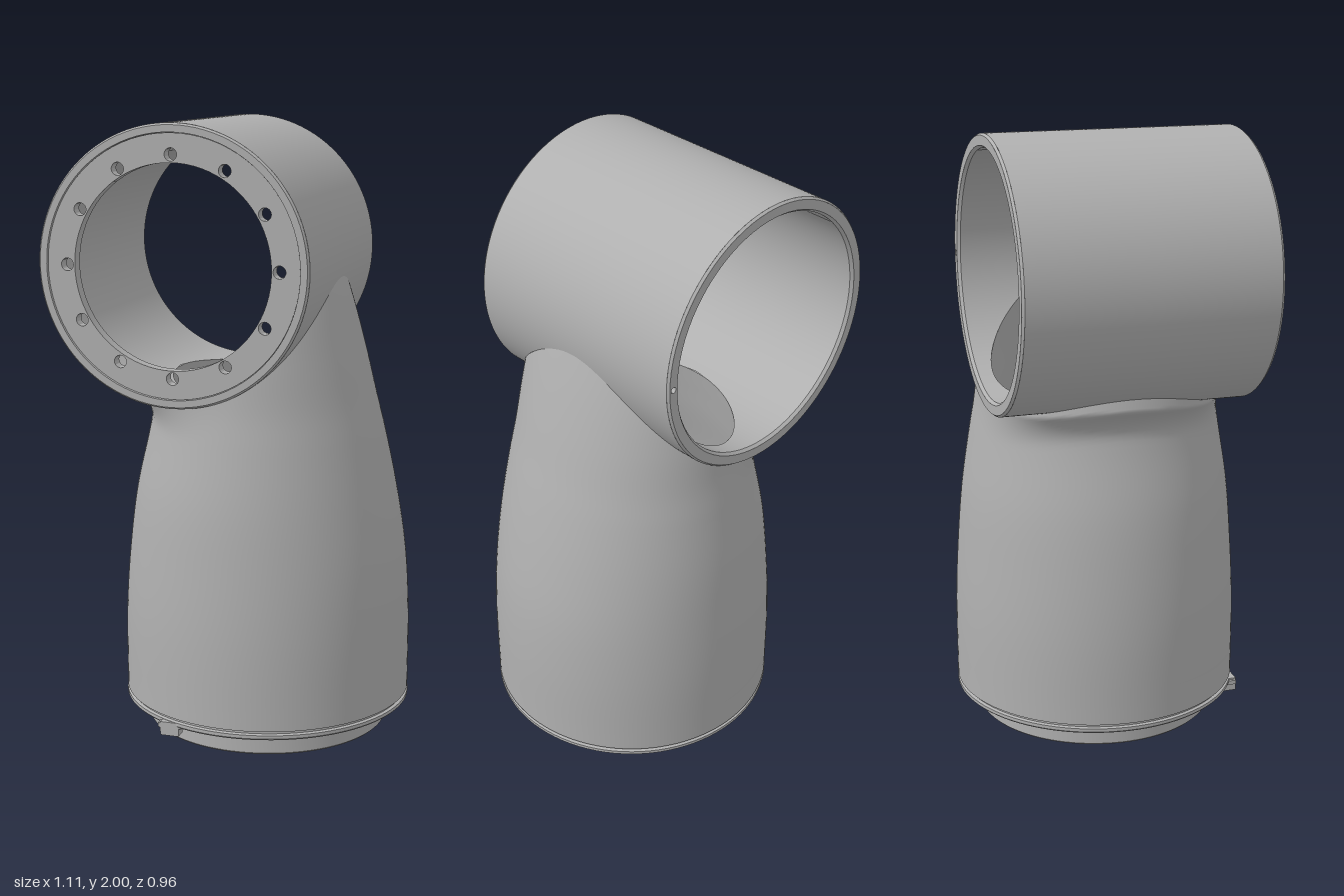
import * as THREE from 'three';
import { toCreasedNormals } from 'three/addons/utils/BufferGeometryUtils.js';

const HX = -0.115, HY = 1.56;      // head axis (runs along z)
const R_OUT = 0.44, R_IN = 0.395;  // head radii
const BX = 0.075;                  // base axis
const WALL = 0.045;

// Trunk sections: height -> left edge, right edge, half depth
const heights = [0.11, 0.4, 0.6, 0.8, 1.0, 1.1, 1.25, 1.4, 1.6];
const sections = [
  -0.402, 0.552, 0.478, -0.4, 0.55, 0.477, -0.385, 0.536, 0.467,
  -0.358, 0.503, 0.451, -0.312, 0.459, 0.422, -0.292, 0.433, 0.406,
  -0.26, 0.395, 0.39, -0.21, 0.353, 0.365, -0.14, 0.29, 0.31,
];
const spline = new THREE.CubicInterpolant(heights, sections, 3, new Float32Array(3));

function section(y, inset) {
  const [l, r, d] = spline.evaluate(Math.min(Math.max(y, 0.11), 1.6));
  return { c: (l + r) / 2, a: (r - l) / 2 - inset, d: d - inset };
}

const headDist = (x, y) => Math.hypot(x - HX, y - HY);

// Point on the trunk wall; the crotch side flares out into a fillet under the head
function trunkPoint(t, y, inset, flare) {
  const s = section(y, inset);
  let x = s.c + s.a * Math.cos(t);
  if (flare) {
    const near = Math.max(0, 1 - Math.max(0, headDist(x, y) - R_OUT) / 0.11);
    x += Math.min(0, Math.cos(t)) * 0.085 * near * near;
  }
  return [x, y, s.d * Math.sin(t)];
}

// Height at which a trunk column meets the head cylinder
function meetHeight(t, inset, flare, R) {
  let lo = 0.95, hi = 1.59;
  for (let i = 0; i < 40; i++) {
    const m = (lo + hi) / 2;
    if (headDist(trunkPoint(t, m, inset, flare)[0], m) > R) lo = m; else hi = m;
  }
  return lo;
}

// Surface from a rule f(u, v), closed around u
function loopSurface(f, nu, nv) {
  const pos = [], idx = [];
  for (let j = 0; j <= nv; j++) {
    for (let i = 0; i < nu; i++) pos.push(...f(i / nu, j / nv));
  }
  for (let j = 0; j < nv; j++) {
    for (let i = 0; i < nu; i++) {
      const a = j * nu + i, b = j * nu + (i + 1) % nu;
      idx.push(a, a + nu, b, b, a + nu, b + nu);
    }
  }
  const g = new THREE.BufferGeometry();
  g.setAttribute('position', new THREE.Float32BufferAttribute(pos, 3));
  g.setIndex(idx);
  g.computeVertexNormals();
  return g;
}

function trunkWall(inset, flare, R, y0) {
  const n = 128, tops = [];
  for (let i = 0; i < n; i++) tops.push(meetHeight(i / n * Math.PI * 2, inset, flare, R));
  return loopSurface((u, v) => {
    const top = tops[Math.round(u * n)];
    const y = y0 + (top - y0) * (1 - Math.pow(1 - v, 1.6));
    return trunkPoint(u * Math.PI * 2, y, inset, flare);
  }, n, 48);
}

// One half of a head wall, from the trunk opening out to z = zEnd
function headWall(R, inset, zEnd) {
  return loopSurface((u, v) => {
    const p = u * Math.PI * 2, x = HX + R * Math.cos(p), y = HY + R * Math.sin(p);
    const s = section(y, inset), k = (x - s.c) / s.a;
    const open = y < 1.6 && Math.abs(k) < 1 ? s.d * Math.sqrt(1 - k * k) : 0;
    const z0 = Math.min(open, Math.abs(zEnd)) * Math.sign(zEnd);
    return [x, y, z0 + (zEnd - z0) * v];
  }, 288, 4);
}

// Flat ring with a circle of bolt holes, lying in xy and extruded along +z
function ringPlate(R, r, depth, count, holeCircle, holeR) {
  const shape = new THREE.Shape().absarc(0, 0, R, 0, Math.PI * 2);
  shape.holes.push(new THREE.Path().absarc(0, 0, r, 0, Math.PI * 2, true));
  for (let i = 0; i < count; i++) {
    const a = i / count * Math.PI * 2;
    shape.holes.push(new THREE.Path().absarc(
      holeCircle * Math.cos(a), holeCircle * Math.sin(a), holeR, 0, Math.PI * 2, true));
  }
  const g = new THREE.ExtrudeGeometry(shape, { depth, bevelEnabled: false, curveSegments: 40 });
  return toCreasedNormals(g, 0.5);
}

function turned(points) {
  const g = new THREE.LatheGeometry(points.map(([x, y]) => new THREE.Vector2(x, y)), 96);
  return toCreasedNormals(g, 0.5);
}

export function createModel() {
  const model = new THREE.Group();
  const grey = new THREE.MeshStandardMaterial({ color: 0xb0b0b0, side: THREE.DoubleSide });
  grey.name = 'castGrey';
  const add = (name, geometry, x = 0, y = 0, z = 0) => {
    const m = new THREE.Mesh(geometry, grey);
    m.name = name;
    m.position.set(x, y, z);
    model.add(m);
    return m;
  };

  // Trunk
  add('trunkOuter', trunkWall(0, true, R_OUT, 0.11));
  add('trunkInner', trunkWall(WALL, false, R_IN, 0.13));

  // Head tube, opened at the trunk
  add('headOuterFront', headWall(R_OUT, 0, 0.402));
  add('headOuterBack', headWall(R_OUT, 0, -0.402));
  add('headInnerFront', headWall(R_IN, WALL, 0.37));
  add('headInnerBack', headWall(R_IN, WALL, -0.4));

  // Front lip and bolted flange
  add('frontLip', turned([[0.44, 0.402], [0.434, 0.41], [0.412, 0.41], [0.408, 0.36]])
    .rotateX(Math.PI / 2), HX, HY);
  add('frontFlange', ringPlate(0.41, 0.32, 0.04, 12, 0.345, 0.02), HX, HY, 0.363);

  // Back rim with chamfers and a pin hole
  add('backRimInner', turned([[0.395, -0.4], [0.403, -0.41]]).rotateX(Math.PI / 2), HX, HY);
  add('backRimOuter', turned([[0.434, -0.41], [0.44, -0.402]]).rotateX(Math.PI / 2), HX, HY);
  add('backRim', ringPlate(0.434, 0.403, 0.03, 1, 0.418, 0.01), HX, HY, -0.41);

  // Base lip and collar
  add('baseCollar', turned([
    [0.433, 0.13], [0.365, 0.13], [0.365, 0.006], [0.371, 0], [0.396, 0], [0.402, 0.006],
    [0.402, 0.08], [0.472, 0.08], [0.478, 0.086], [0.478, 0.097], [0.468, 0.1],
    [0.468, 0.106], [0.477, 0.11],
  ]), BX);
  add('baseFlange', ringPlate(0.366, 0.285, 0.04, 20, 0.325, 0.015).rotateX(-Math.PI / 2), BX, 0.09);

  // Locating key under the lip
  add('locatingKey', new THREE.BoxGeometry(0.062, 0.045, 0.04), -0.122, 0.073, 0.425);
  add('locatingKeyTop', new THREE.BoxGeometry(0.08, 0.014, 0.038), -0.122, 0.083, 0.424);
  return model;
}
